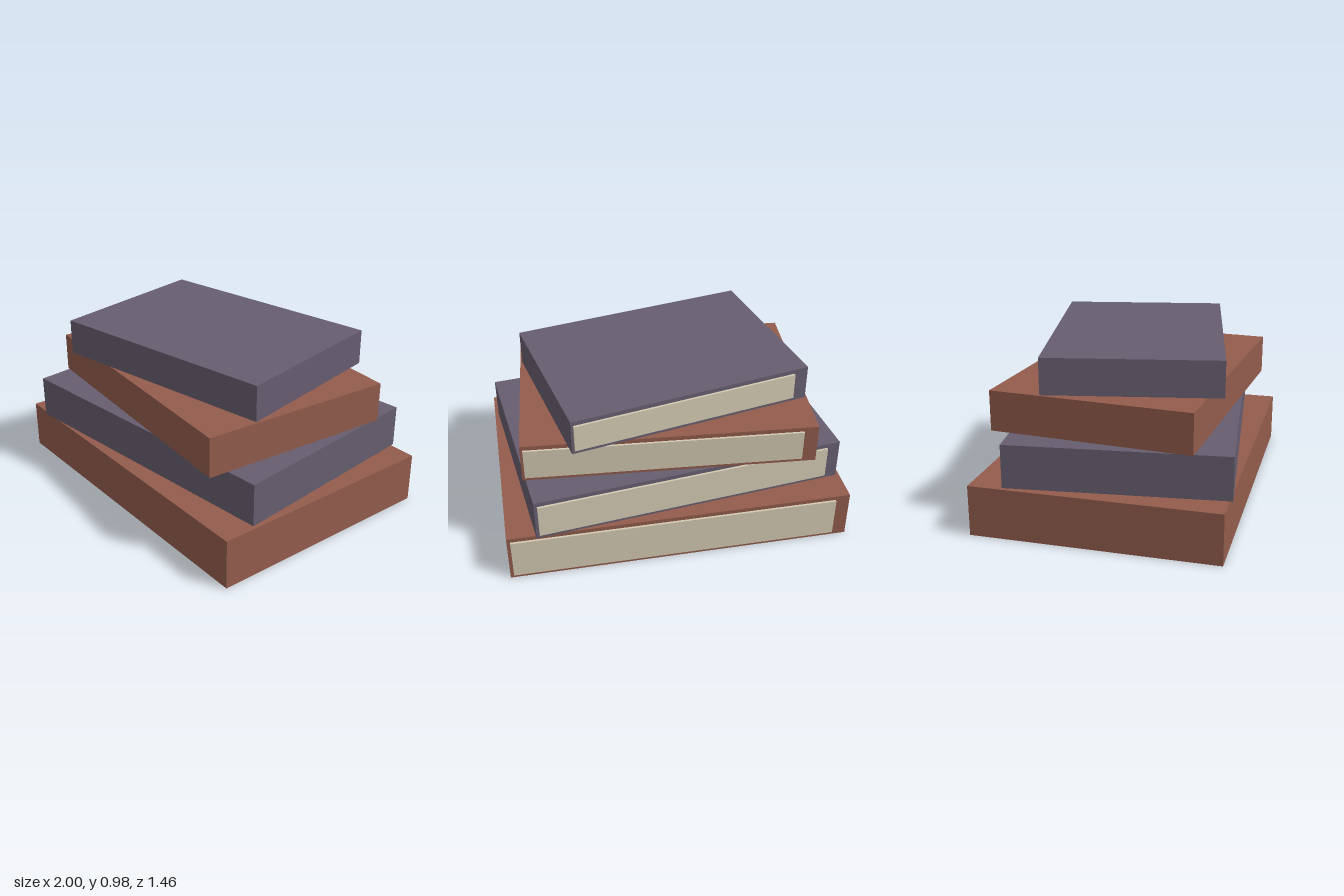
import * as THREE from 'three';

const BROWN = 0x925c4c, PURPLE = 0x665d6f, CREAM = 0xd3cab2;

// width, depth, bottom, top, turn about y, centre z, page inset at left end / right end
const BOOKS = [
  { w: 2.0, d: 1.412, y0: 0, y1: 0.293, turn: 0, z: 0.005, insetA: 0.085, insetB: 0.02, color: BROWN },
  { w: 1.822, d: 1.244, y0: 0.293, y1: 0.542, turn: 0.117, z: 0.003, insetA: 0.079, insetB: 0.018, color: PURPLE },
  { w: 1.66, d: 1.163, y0: 0.542, y1: 0.775, turn: -0.079, z: 0.004, insetA: 0.083, insetB: 0.016, color: BROWN },
  { w: 1.418, d: 0.995, y0: 0.775, y1: 0.983, turn: 0.199, z: 0.002, insetA: 0.085, insetB: 0.014, color: PURPLE },
];
const PROTRUDE = 0.013, COVER = 0.025;

function block(name, w, h, d, color) {
  const mesh = new THREE.Mesh(
    new THREE.BoxGeometry(w, h, d),
    new THREE.MeshStandardMaterial({ color })
  );
  mesh.name = name;
  return mesh;
}

function makeBook({ w, d, y0, y1, turn, z, insetA, insetB, color }) {
  const book = new THREE.Group();
  const h = y1 - y0;
  book.add(block('cover', w, h, d, color));

  // Page block standing slightly proud of the back edge
  const pageDepth = 0.1;
  const pages = block('pages', w - insetA - insetB, h - 2 * COVER, pageDepth, CREAM);
  pages.position.set((insetA - insetB) / 2, 0, -d / 2 - PROTRUDE + pageDepth / 2);
  book.add(pages);

  book.position.set(0, (y0 + y1) / 2, z);
  book.rotation.y = turn;
  return book;
}

export function createModel() {
  const stack = new THREE.Group();
  stack.name = 'bookStack';
  BOOKS.forEach((spec, i) => {
    const book = makeBook(spec);
    book.name = `book${i + 1}`;
    stack.add(book);
  });
  return stack;
}
